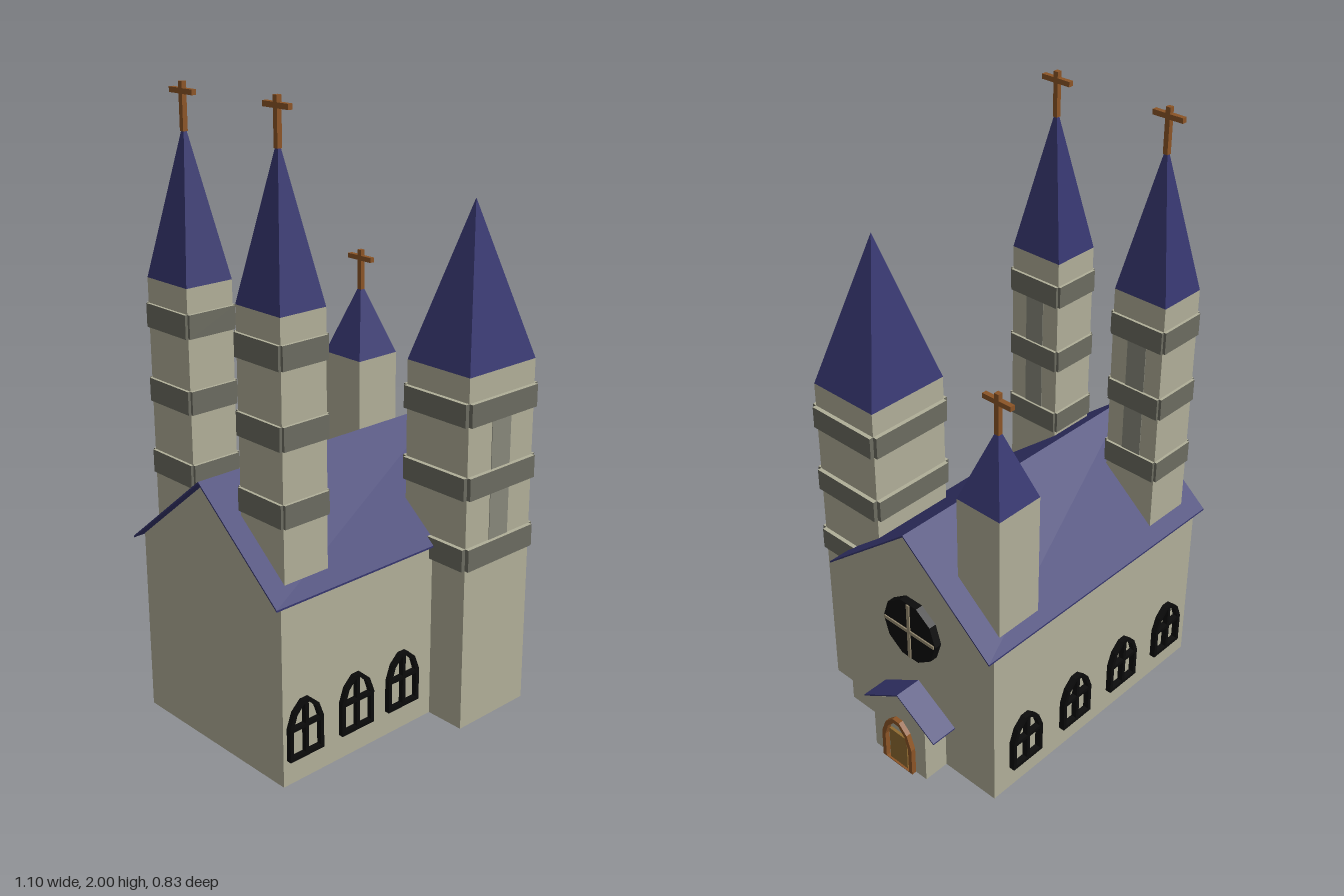
import * as THREE from 'three';

const mat = (color) => new THREE.MeshStandardMaterial({ color, flatShading: true });

export function createModel() {
  const root = new THREE.Group();
  const stone = mat(0xb0ae98), trim = mat(0x6b6b60), niche = mat(0x87877a), slate = mat(0x36366f);
  const wood = mat(0x8b5426), plank = mat(0x8f6a30), black = mat(0x0b0b0b), bar = mat(0x9a8e74);
  // band plates: dark faces with a stone-coloured top
  const bandMats = [trim, trim, stone, trim, trim, trim];

  const add = (parent, name, geo, material) => {
    const m = new THREE.Mesh(geo, material);
    m.name = name;
    parent.add(m);
    return m;
  };
  // box given by its min and max on each axis
  const box = (parent, name, x0, x1, y0, y1, z0, z1, material) => {
    const m = add(parent, name, new THREE.BoxGeometry(x1 - x0, y1 - y0, z1 - z0), material);
    m.position.set((x0 + x1) / 2, (y0 + y1) / 2, (z0 + z1) / 2);
    return m;
  };
  const shapeOf = (pts) => new THREE.Shape(pts.map((p) => new THREE.Vector2(...p)));
  const extrude = (shape, depth) => new THREE.ExtrudeGeometry(shape, { depth, bevelEnabled: false });
  // extrusion along x; profile points are (across, y), centred on z
  const alongX = (parent, name, shape, x0, x1, z, material) => {
    const m = add(parent, name, extrude(shape, x1 - x0), material);
    m.rotation.y = Math.PI / 2;
    m.position.set(x0, 0, z);
    return m;
  };
  const house = (w, eave, ridge) => shapeOf([[-w, 0], [w, 0], [w, eave], [0, ridge], [-w, eave]]);
  const chevron = (w, eave, ridge, t) =>
    shapeOf([[-w, eave - t], [0, ridge - t], [w, eave - t], [w, eave], [0, ridge], [-w, eave]]);

  const MID = -0.065; // z of the ridge

  // nave and roof
  const nave = new THREE.Group();
  nave.name = 'nave';
  root.add(nave);
  alongX(nave, 'naveWalls', house(0.328, 0.608, 0.878), -0.52, 0.44, MID, stone);
  alongX(nave, 'naveRoof', chevron(0.346, 0.602, 0.888, 0.006), -0.55, 0.48, MID, slate);

  // entrance porch
  const porch = new THREE.Group();
  porch.name = 'porch';
  root.add(porch);
  alongX(porch, 'porchWalls', house(0.116, 0.208, 0.283), 0.43, 0.53, MID, stone);
  alongX(porch, 'porchRoof', chevron(0.158, 0.19, 0.291, 0.005), 0.43, 0.534, MID, slate);

  // pointed arch outline: half width w, base y0, spring ys, top yt
  const arch = (w, y0, ys, yt) => {
    const h = yt - ys;
    return [[-w, y0], [w, y0], [w, ys], [w * 0.72, ys + h * 0.62], [w * 0.22, yt],
      [-w * 0.22, yt], [-w * 0.72, ys + h * 0.62], [-w, ys]];
  };
  const archFrame = (outer, inner) => {
    const s = shapeOf(outer);
    s.holes.push(new THREE.Path(inner.map((p) => new THREE.Vector2(...p))));
    return s;
  };

  // door with arched surround
  alongX(porch, 'doorSurround', archFrame(arch(0.067, 0, 0.105, 0.19), arch(0.052, 0.002, 0.1, 0.174)),
    0.53, 0.547, -0.067, wood);
  box(porch, 'door', 0.525, 0.54, 0, 0.13, -0.106, -0.028, plank);

  // arched side windows
  const sideWindow = (x, z, depth) => {
    const g = new THREE.Group();
    g.name = 'archedWindow';
    g.position.set(x, 0, z);
    root.add(g);
    add(g, 'windowFrame', extrude(archFrame(arch(0.066, 0.085, 0.195, 0.275), arch(0.053, 0.098, 0.19, 0.262)), depth), black);
    box(g, 'windowMullion', -0.006, 0.006, 0.09, 0.27, 0, depth, black);
    box(g, 'windowTransom', -0.06, 0.06, 0.183, 0.195, 0, depth, black);
  };
  for (const x of [-0.44, -0.233, -0.037]) sideWindow(x, 0.255, 0.025);
  for (const x of [-0.4, -0.165, 0.07, 0.305]) sideWindow(x, -0.413, 0.025);

  // round window over the porch
  const rose = new THREE.Group();
  rose.name = 'roundWindow';
  rose.position.set(0.44, 0.508, -0.06);
  root.add(rose);
  const disc = add(rose, 'roundPane', new THREE.CylinderGeometry(0.113, 0.113, 0.04, 10), black);
  disc.rotation.z = Math.PI / 2;
  disc.position.x = 0.006;
  box(rose, 'roundWindowUpright', 0.02, 0.03, -0.105, 0.105, -0.006, 0.006, bar);
  box(rose, 'roundWindowCrossbar', 0.02, 0.03, -0.006, 0.006, -0.108, 0.108, bar);

  // tower: shaft, pyramid spire, optional bands, niche strip and cross
  const tower = (name, { x, z, w, d, base, top, apex, bands = [], strip, cross }) => {
    const g = new THREE.Group();
    g.name = name;
    g.position.set(x, 0, z);
    root.add(g);
    const hx = w / 2, hz = d / 2;
    box(g, 'shaft', -hx, hx, base, top, -hz, hz, stone);
    const cone = new THREE.ConeGeometry(Math.SQRT1_2, apex - top, 4).rotateY(Math.PI / 4).scale(w, 1, d);
    add(g, 'spire', cone, slate).position.y = (apex + top) / 2;

    // four plates per band, open at the corners
    const [bh, t] = [0.073, strip === 'front' ? 0.014 : 0.009];
    for (const y of bands) {
      for (const s of [-1, 1]) {
        box(g, 'bandPlate', -hx, hx, y, y + bh, s * (hz + t / 2) - t / 2, s * (hz + t / 2) + t / 2, bandMats);
        box(g, 'bandPlate', s * (hx + t / 2) - t / 2, s * (hx + t / 2) + t / 2, y, y + bh, -hz, hz, bandMats);
      }
    }
    // niche strips between the bands, on one face
    for (let i = 0; i < bands.length - 1; i++) {
      const y0 = bands[i] + bh, y1 = bands[i + 1];
      if (strip === 'front') box(g, 'niche', -0.042, 0.042, y0, y1, hz - 0.01, hz + 0.002, niche);
      else box(g, 'niche', hx - 0.01, hx + 0.002, y0, y1, -0.035, 0.035, niche);
    }
    if (cross) {
      box(g, 'crossPost', -0.008, 0.008, apex - 0.03, cross, -0.008, 0.008, wood);
      box(g, 'crossArm', -0.008, 0.008, cross - 0.035, cross - 0.019, -0.053, 0.053, wood);
    }
  };

  tower('cornerTower', { x: 0.243, z: 0.272, w: 0.293, d: 0.256, base: 0, top: 1.17, apex: 1.662,
    bands: [0.552, 0.785, 1.018], strip: 'front' });
  for (const z of [0.14, -0.273]) {
    tower('rearTower', { x: -0.398, z, w: 0.166, d: 0.19, base: 0.55, top: 1.43, apex: 1.89,
      bands: [0.815, 1.047, 1.28], strip: 'side', cross: 2 });
  }
  tower('smallTower', { x: 0.314, z: -0.292, w: 0.168, d: 0.167, base: 0.55, top: 1.05, apex: 1.29, cross: 1.4 });

  return root;
}
